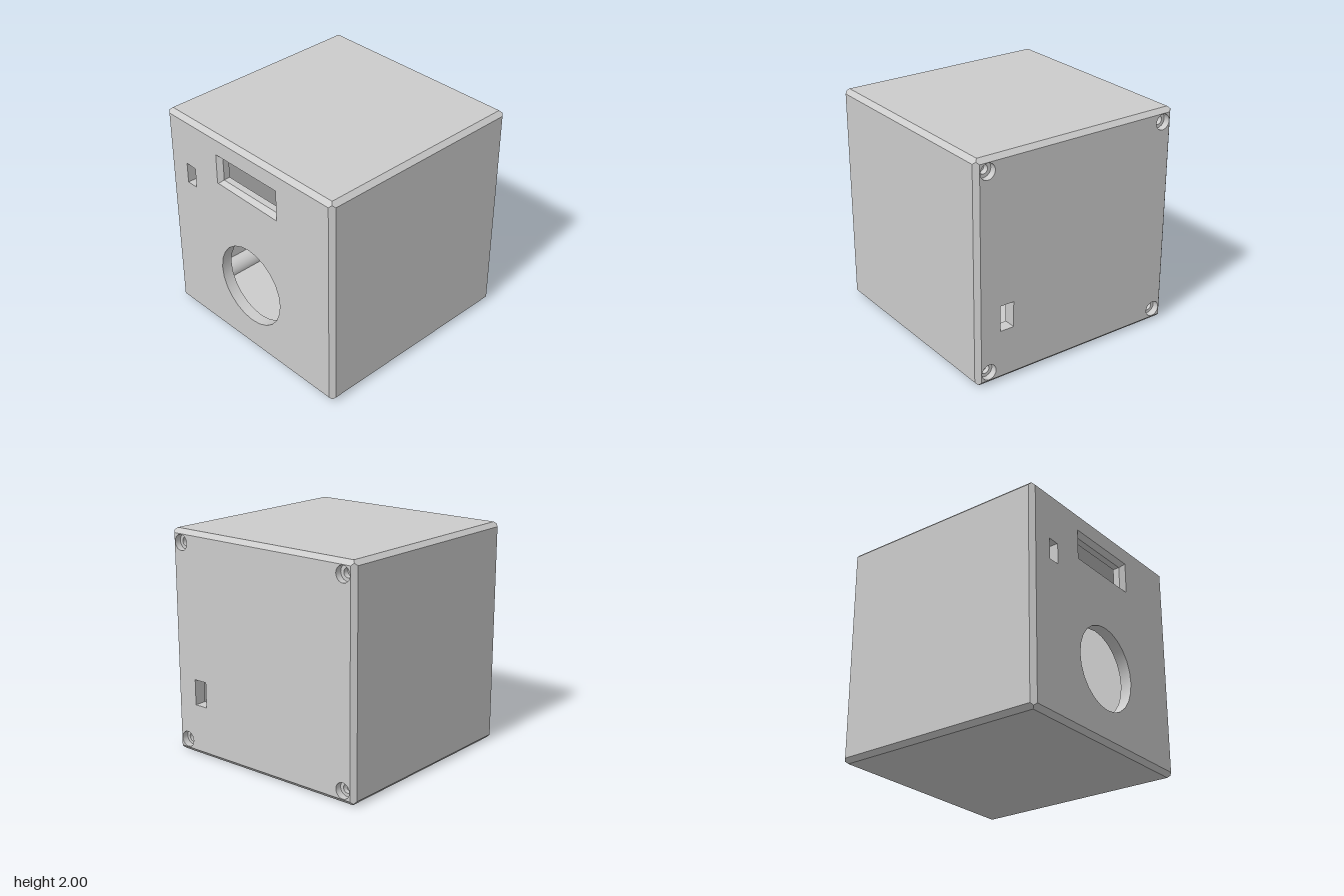
import * as THREE from 'three';
import { ConvexGeometry } from 'three/addons/geometries/ConvexGeometry.js';
import { toCreasedNormals } from 'three/addons/utils/BufferGeometryUtils.js';

const CUT = 0.04;       // chamfer width
const FACE = 1 - CUT;   // half width of the flat faces
const WALL = 0.1;
const SCREW = 0.885;    // screw offset from the middle of the back

// Closed outlines, measured from the middle of the box
const path = (pts) => new THREE.Path(pts.map(([x, y]) => new THREE.Vector2(x, y)));
const rect = (x0, x1, y0, y1) => path([[x0, y0], [x0, y1], [x1, y1], [x1, y0]]);
const circle = (x, y, r, n) => path(Array.from({ length: n }, (_, i) => {
  const a = (i / n) * Math.PI * 2;
  return [x + r * Math.cos(a), y + r * Math.sin(a)];
}));

// Square slab with holes between two depths
function slab(holes, z0, z1, steps = 1) {
  const shape = new THREE.Shape(rect(-FACE, FACE, -FACE, FACE).getPoints());
  shape.holes = holes;
  return new THREE.ExtrudeGeometry(shape, { depth: z1 - z0, steps, bevelEnabled: false }).translate(0, 0, z0);
}

export function createModel() {
  const group = new THREE.Group();
  const body = new THREE.Group();
  body.position.y = 1;
  group.add(body);
  const mat = new THREE.MeshStandardMaterial({ color: 0xcccccc, side: THREE.DoubleSide });
  const add = (name, geometry) => {
    const mesh = new THREE.Mesh(geometry, mat);
    mesh.name = name;
    body.add(mesh);
    return mesh;
  };

  // Chamfered outer skin, left open at front and back
  const s = [-1, 1];
  const points = [];
  for (const x of s) for (const y of s) for (const z of s) {
    points.push(
      new THREE.Vector3(x, y * FACE, z * FACE),
      new THREE.Vector3(x * FACE, y, z * FACE),
      new THREE.Vector3(x * FACE, y * FACE, z),
      new THREE.Vector3(x, y, z).multiplyScalar(1 - CUT / 2));
  }
  const hull = new ConvexGeometry(points).getAttribute('position');
  const kept = [];
  for (let i = 0; i < hull.count; i += 3) {
    if ([0, 1, 2].every((k) => Math.abs(hull.getZ(i + k)) > 0.999)) continue;
    for (let k = 0; k < 3; k++) kept.push(hull.getX(i + k), hull.getY(i + k), hull.getZ(i + k));
  }
  const skin = new THREE.BufferGeometry();
  skin.setAttribute('position', new THREE.Float32BufferAttribute(kept, 3));
  skin.computeVertexNormals();
  add('outerShell', skin);

  // Inner side walls
  const inner = 1 - WALL;
  add('innerWalls', slab([rect(-inner, inner, -inner, inner)], -inner, inner));

  // Front panel: display window, small slot and round opening
  const win = { x: 0.325, y0: 0.575, y1: 0.78 };
  const front = slab([
    rect(-win.x, win.x, win.y0, win.y1),
    rect(-0.77, -0.66, 0.36, 0.55),
    circle(0, -0.33, 0.373, 24),
  ], inner, 1, 2);
  // Flare the window rim outwards over the last part of the thickness
  const p = front.getAttribute('position');
  for (let i = 0; i < p.count; i++) {
    const x = p.getX(i), y = p.getY(i), z = p.getZ(i);
    if (z > 0.91 && z < 0.99) p.setZ(i, FACE);
    const low = Math.abs(y - win.y0) < 1e-4, high = Math.abs(y - win.y1) < 1e-4;
    if (z > 0.99 && Math.abs(Math.abs(x) - win.x) < 1e-4 && (low || high)) {
      p.setXY(i, x + Math.sign(x) * CUT, y + (high ? CUT : -CUT));
    }
  }
  add('frontPanel', toCreasedNormals(front, 0.4));

  // Back panel: cable slot and counterbored screw holes
  const backHoles = (r) => [
    rect(0.64, 0.77, -0.54, -0.31),
    ...s.flatMap((x) => s.map((y) => circle(x * SCREW, y * SCREW, r, 20))),
  ];
  add('backPanelOuter', toCreasedNormals(slab(backHoles(0.07), -1, -0.94), 0.4));
  const dish = { x: 0.545, y: 0.56, r: 0.315 };
  const backInner = slab([...backHoles(0.04), circle(dish.x, dish.y, dish.r, 32)], -0.94, -0.89);
  add('backPanelInner', toCreasedNormals(backInner, 0.4));

  // Tapered round recess on the inside of the back panel
  const cone = new THREE.CylinderGeometry(dish.r, dish.r - 0.05, 0.05, 32, 1, true).rotateX(Math.PI / 2);
  add('backRecess', cone).position.set(dish.x, dish.y, -0.915);

  // Screw posts along the inner corners
  for (const x of s) for (const y of s) {
    const post = new THREE.CylinderGeometry(0.1, 0.1, 1.79, 24).rotateX(Math.PI / 2);
    add('screwPost', post).position.set(x * SCREW, y * SCREW, 0.005);
  }
  return group;
}
